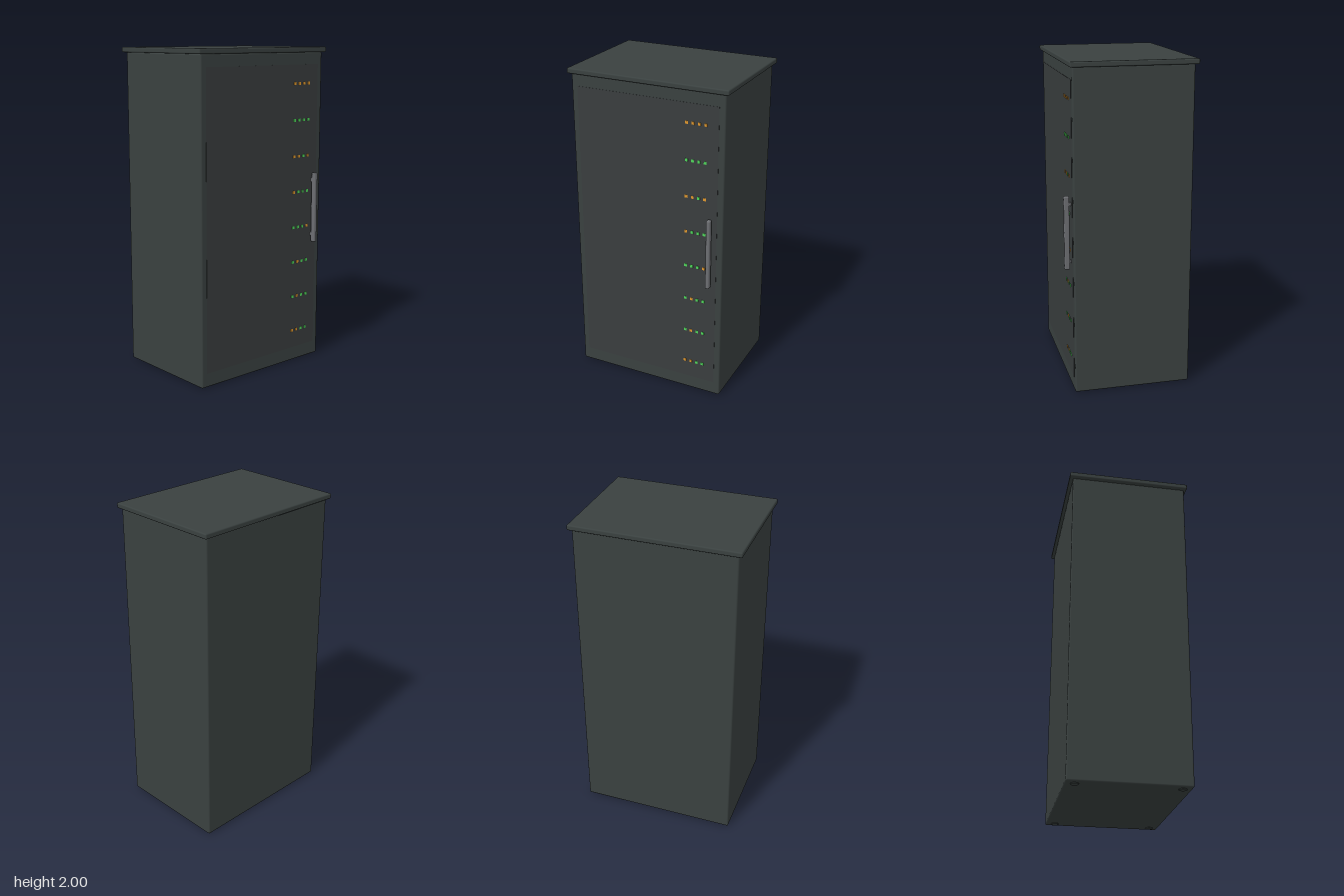
import * as THREE from 'three';
import { RoundedBoxGeometry } from 'three/addons/geometries/RoundedBoxGeometry.js';

const material = (name, color) => {
  const m = new THREE.MeshStandardMaterial({ color });
  m.name = name;
  return m;
};

export function createModel() {
  const group = new THREE.Group();
  group.name = 'serverCabinet';
  const shell = material('charcoal shell', 0x3a4140);
  const glass = material('dark door', 0x393d3e);
  const metal = material('grey metal', 0x6c6e72);
  const green = material('green light', 0x4fd65a);
  const amber = material('amber light', 0xe0982e);

  const add = (name, geometry, mat, x, y, z, parent = group) => {
    const mesh = new THREE.Mesh(geometry, mat);
    mesh.name = name;
    mesh.position.set(x, y, z);
    parent.add(mesh);
    return mesh;
  };

  // Cabinet shell and overhanging lid
  add('cabinetBody', new RoundedBoxGeometry(0.98, 1.966, 0.715, 2, 0.01), shell, 0, 0.987, -0.0125);
  add('lid', new RoundedBoxGeometry(1.024, 0.032, 0.752, 2, 0.008), shell, 0, 1.984, -0.014);

  // Door panel lying on the front face
  add('doorPanel', new THREE.BoxGeometry(0.905, 1.805, 0.004), glass, 0, 0.9925, 0.3445);

  // Upright door handle, with short mounts reaching back to the door
  add('doorHandle', new RoundedBoxGeometry(0.026, 0.446, 0.033, 2, 0.008), metal, 0.413, 0.995, 0.3735);
  for (const y of [0.82, 1.17]) {
    add('handleMount', new THREE.BoxGeometry(0.012, 0.02, 0.02), metal, 0.413, y, 0.353);
  }

  // Status lights: eight rows of four, listed from the top
  const rows = ['AAAA', 'GGGG', 'AAGA', 'AGGG', 'GGGA', 'GAGG', 'GAGG', 'AAGG'];
  const lights = new THREE.Group();
  lights.name = 'statusLights';
  group.add(lights);
  const lightGeometry = new THREE.BoxGeometry(0.017, 0.017, 0.004);
  rows.forEach((row, r) => {
    [...row].forEach((c, i) => {
      add('statusLight', lightGeometry, c === 'G' ? green : amber, 0.255 + i * 0.0393, 1.78 - r * 0.225, 0.3475, lights);
    });
  });

  // Levelling feet
  const footGeometry = new THREE.CylinderGeometry(0.025, 0.025, 0.02, 16);
  for (const x of [-0.44, 0.44]) {
    for (const z of [-0.315, 0.29]) add('foot', footGeometry, shell, x, 0.01, z);
  }
  return group;
}
